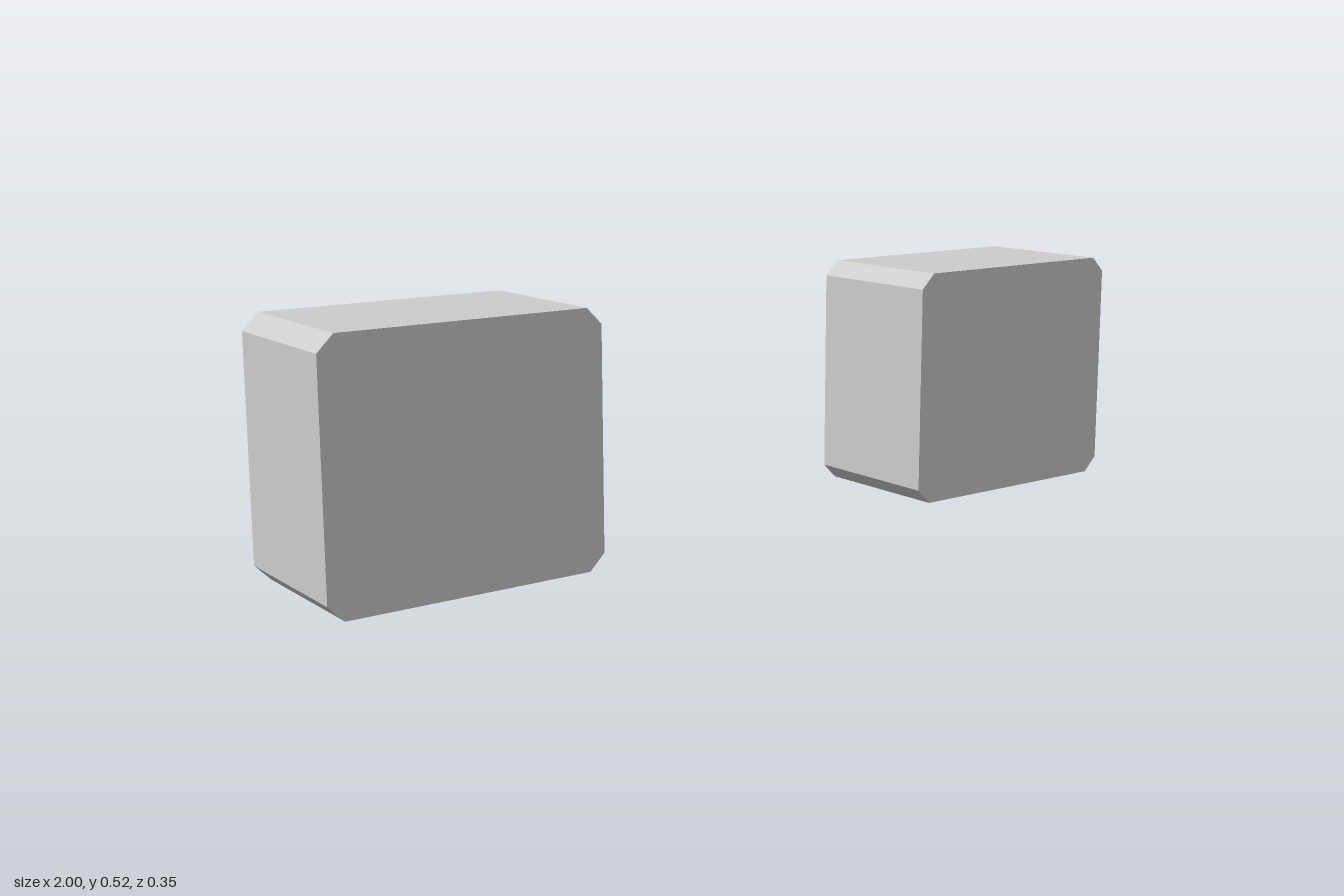
import * as THREE from 'three';

// Slab with chamfered corners: centred on x, standing on y = 0, from z = 0 to depth
function chamferedSlab(width, height, depth, cut) {
  const w = width / 2;
  const shape = new THREE.Shape([
    [-w + cut, 0], [w - cut, 0], [w, cut], [w, height - cut],
    [w - cut, height], [-w + cut, height], [-w, height - cut], [-w, cut],
  ].map(([x, y]) => new THREE.Vector2(x, y)));
  return new THREE.ExtrudeGeometry(shape, { depth, bevelEnabled: false });
}

export function createModel() {
  const model = new THREE.Group();
  model.name = 'pairOfBoxes';
  const grey = new THREE.MeshStandardMaterial({ color: 0xcccccc });
  grey.name = 'light grey';

  const bodyGeometry = chamferedSlab(0.582, 0.517, 0.324, 0.033);
  const panelGeometry = chamferedSlab(0.5, 0.21, 0.025, 0.033);

  for (const [side, sign] of [['left', 1], ['right', -1]]) {
    const box = new THREE.Group();
    box.name = side + 'Box';
    box.position.x = sign * 0.709;

    // Main block
    const body = new THREE.Mesh(bodyGeometry, grey);
    body.name = side + 'Body';
    body.position.z = -0.147;

    // Thin panel standing just clear of the back, near the top
    const panel = new THREE.Mesh(panelGeometry, grey);
    panel.name = side + 'BackPanel';
    panel.position.set(0, 0.299, -0.175);

    box.add(body, panel);
    model.add(box);
  }
  return model;
}
